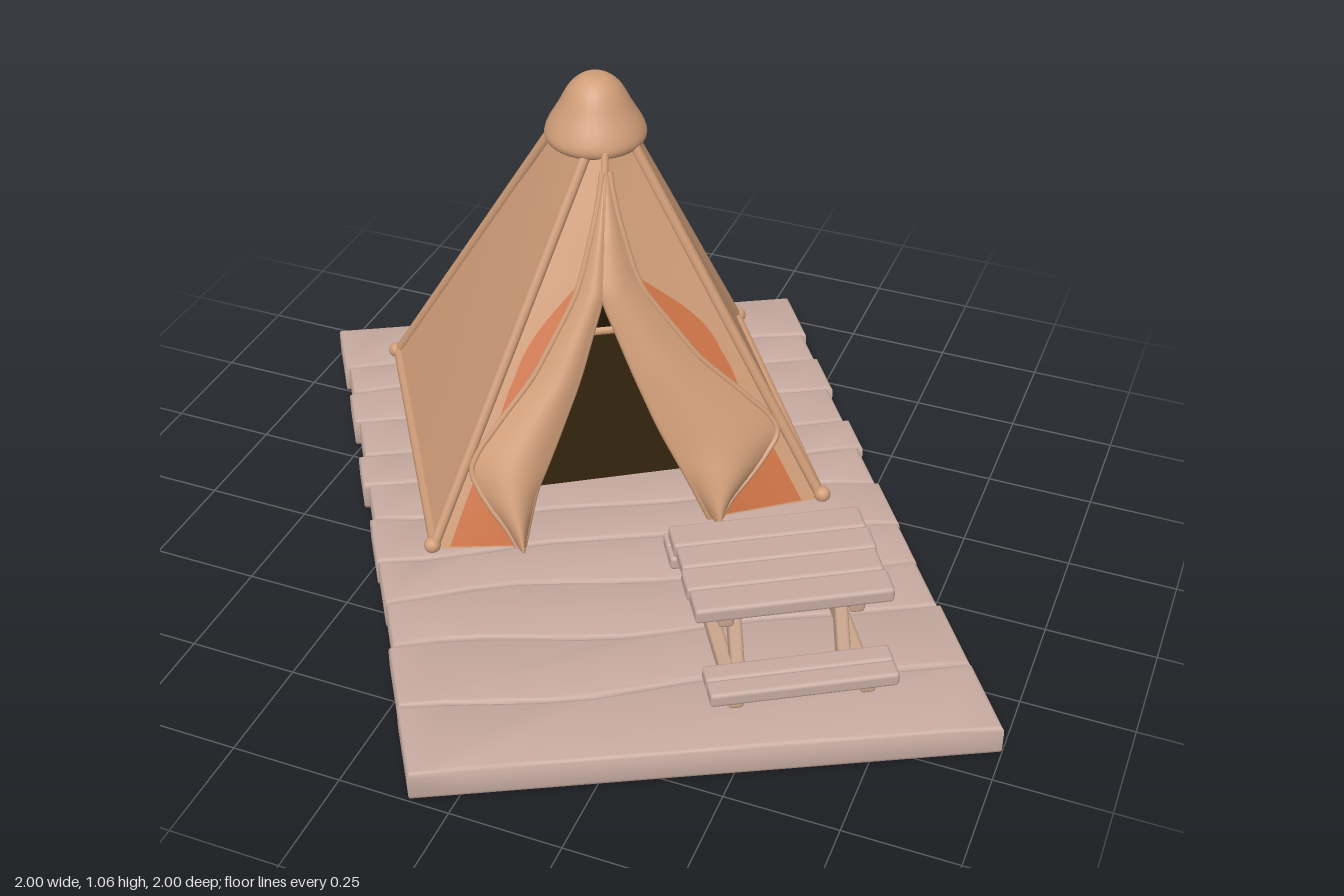
import * as THREE from 'three';
import { toCreasedNormals } from 'three/addons/utils/BufferGeometryUtils.js';
import { RoundedBoxGeometry } from 'three/addons/geometries/RoundedBoxGeometry.js';

const material = (name, color) => {
  const m = new THREE.MeshStandardMaterial({ color });
  m.name = name;
  return m;
};
const wood = material('weathered wood', 0xc6aaa0);
const beamWood = material('tan beam wood', 0xc9a48c);
const canvas = material('tan canvas', 0xd09d78);
const lining = material('orange lining', 0xcf7446);
const dark = material('dark interior', 0x2e210d);

const V = (x, y, z) => new THREE.Vector3(x, y, z);

function add(parent, name, geometry, mat) {
  const mesh = new THREE.Mesh(geometry, mat);
  mesh.name = name;
  parent.add(mesh);
  return mesh;
}

// Surface from f(u, v), facing u x v unless flipped
function surface(f, nu, nv, flip = false) {
  const pos = [], idx = [];
  for (let j = 0; j <= nv; j++)
    for (let i = 0; i <= nu; i++) pos.push(...f(i / nu, j / nv).toArray());
  for (let j = 0; j < nv; j++)
    for (let i = 0; i < nu; i++) {
      const a = j * (nu + 1) + i, b = a + 1, c = a + nu + 1, d = c + 1;
      if (flip) idx.push(a, d, b, a, c, d);
      else idx.push(a, b, d, a, d, c);
    }
  const g = new THREE.BufferGeometry();
  g.setAttribute('position', new THREE.Float32BufferAttribute(pos, 3));
  g.setIndex(idx);
  g.computeVertexNormals();
  return g;
}

// Linear lookup in rows of [key, value, value...]
function lookup(rows, key) {
  let i = 0;
  while (i < rows.length - 2 && key > rows[i + 1][0]) i++;
  const [p, q] = [rows[i], rows[i + 1]];
  const t = THREE.MathUtils.clamp((key - p[0]) / (q[0] - p[0]), 0, 1);
  return p.slice(1).map((v, k) => v + (q[k + 1] - v) * t);
}

const tube = (points, r) =>
  new THREE.TubeGeometry(new THREE.CatmullRomCurve3(points), points.length * 4, r, 8);

// Deck: wavy planks laid between the two long sides
function createDeck() {
  const deck = new THREE.Group();
  deck.name = 'deck';
  const backLeft = V(0.06, 0, -1), frontLeft = V(1, 0, 0.42);
  const frontRight = V(-0.09, 0, 1), backRight = V(-1, 0, -0.4);
  const cuts = [0, 0.1, 0.18, 0.26, 0.34, 0.42, 0.5, 0.58, 0.67, 0.77, 0.88, 1];
  const edgePoint = (i, s) => {
    const wave = i === 0 || i === cuts.length - 1 ? 0
      : 0.007 * Math.sin(s * 7 + i * 1.9) + 0.005 * Math.sin(s * 13 + i);
    const t = cuts[i] + wave;
    return backRight.clone().lerp(frontRight, t).lerp(backLeft.clone().lerp(frontLeft, t), s);
  };
  const steps = 12;
  for (let i = 0; i < cuts.length - 1; i++) {
    const inset = i === 0 || i === cuts.length - 2 ? 0 : 0.006 * (1 + Math.sin(i * 2.7));
    const outline = [];
    for (let k = 0; k <= steps; k++)
      outline.push(edgePoint(i + 1, inset + (1 - 2 * inset) * k / steps));
    for (let k = steps; k >= 0; k--)
      outline.push(edgePoint(i, inset + (1 - 2 * inset) * k / steps));
    const shape = new THREE.Shape(outline.map((p) => new THREE.Vector2(p.x, -p.z)));
    const g = new THREE.ExtrudeGeometry(shape, {
      depth: 0.051, bevelThickness: 0.012, bevelSize: 0.011, bevelOffset: -0.011, bevelSegments: 3,
    });
    g.rotateX(-Math.PI / 2).translate(0, 0.012, 0);
    add(deck, 'deckPlank', toCreasedNormals(g, 0.8), wood);
  }
  return deck;
}

// Tent corners, in order: front right, front left, back left, back right
const BASE = 0.075, TOP = 0.92;
const low = [V(-0.36, BASE, 0.335), V(0.415, BASE, -0.18), V(-0.03, BASE, -0.845), V(-0.805, BASE, -0.355)];
const high = [V(-0.16, TOP, -0.14), V(-0.085, TOP, -0.21), V(-0.16, TOP, -0.325), V(-0.275, TOP, -0.245)];
const corner = (i, t) => low[i % 4].clone().lerp(high[i % 4], t);
const heightOf = (y) => (y - BASE) / (TOP - BASE);

// Each door side: its corner and the door edge as [y, x, z]
const doorSides = [
  { i: 0, name: 'right', edge: [[BASE, -0.17, 0.25], [0.2, -0.16, 0.2], [0.32, -0.13, 0.14], [0.45, -0.1, 0.08],
    [0.64, -0.072, 0], [0.76, -0.09, -0.055], [TOP, -0.12, -0.14]] },
  { i: 1, name: 'left', edge: [[BASE, 0.195, -0.01], [0.2, 0.14, 0.005], [0.32, 0.075, 0.01], [0.45, 0.015, 0.01],
    [0.64, -0.072, 0], [0.76, -0.09, -0.055], [TOP, -0.12, -0.14]] },
];
// Free edge of the folded flap, as [y, share of the way from corner to door]
const freeEdge = [[BASE, 0.95], [0.13, 0.72], [0.2, 0.32], [0.25, 0.08], [0.29, 0.07], [0.36, 0.2],
  [0.45, 0.4], [0.6, 0.58], [0.75, 0.72], [0.88, 0.88]];
const outward = V(0.53, 0.25, 0.8).normalize();

function createTent() {
  const tent = new THREE.Group();
  tent.name = 'tent';

  // Three closed walls with dark inner faces, seams and hems
  for (let i = 0; i < 4; i++) {
    add(tent, 'cornerSeam', tube([0, 0.33, 0.67, 1].map((t) => corner(i, t)), 0.013), canvas);
    add(tent, 'cornerFoot', new THREE.SphereGeometry(0.02, 12, 8), canvas)
      .position.copy(low[i]).setY(BASE + 0.012);
    if (i === 0) continue;
    const wall = (u, v) => corner(i, v).lerp(corner(i + 1, v), u);
    add(tent, 'wall', surface(wall, 4, 4), canvas);
    add(tent, 'wallInside', surface(wall, 4, 4, true), dark);
    add(tent, 'wallHem', tube([0, 0.33, 0.67, 1].map((u) => wall(u, 0.015)), 0.014), canvas);
  }

  // Front panels with folded flaps
  for (const { i, name, edge } of doorSides) {
    const mirrored = i === 1;
    const panel = (a, y) => {
      const [x, z] = lookup(edge, y);
      return corner(i, heightOf(y)).lerp(V(x, y, z), a);
    };
    const panelAt = (u, v) => panel(u, BASE + (TOP - BASE) * v);
    add(tent, name + 'FrontPanel', surface(panelAt, 10, 30, mirrored), canvas);
    add(tent, name + 'FrontPanelInside', surface(panelAt, 10, 30, !mirrored), dark);

    // Flap turned back over the panel, plump towards the bottom
    const flap = (u, v) => {
      const y = BASE + 0.01 + (0.88 - BASE - 0.01) * v;
      const [free] = lookup(freeEdge, y);
      const puff = (0.016 * (1 - u) + 0.05 * Math.sin(Math.PI * (0.08 + 0.92 * (1 - u)))) * (1.05 - v);
      return panel(free + (1 - free) * u, y).addScaledVector(outward, puff + 0.006);
    };
    add(tent, name + 'Flap', surface(flap, 12, 40, mirrored), canvas);
    add(tent, name + 'FlapLining', surface(flap, 12, 40, !mirrored), lining);
    const rows = Array.from({ length: 20 }, (_, k) => k / 19);
    add(tent, name + 'FlapHem', tube(rows.map((v) => flap(0, v)), 0.007), canvas);
    add(tent, name + 'DoorEdge', tube(rows.map((v) => panelAt(1, v)), 0.009), canvas);

    // Orange lining showing beside and under the flap
    const patch = (y0, y1, spread) => (u, v) => {
      const y = y0 + (y1 - y0) * v;
      const from = Math.max(0.1, lookup(freeEdge, y)[0] - spread * Math.sin(Math.PI * v));
      return panel(from + (1 - from) * u, y).addScaledVector(outward, 0.004);
    };
    add(tent, name + 'UpperLining', surface(patch(0.36, 0.66, 0.26), 8, 16, mirrored), lining);
    add(tent, name + 'LowerLining', surface((u, v) =>
      panel(0.18 + 0.82 * u, BASE + 0.005 + 0.16 * v).addScaledVector(outward, 0.004), 8, 6, mirrored), lining);
  }

  // Shaded floor inside
  const floorAt = (u, v) => {
    const front = low[0].clone().lerp(low[1], u), back = low[3].clone().lerp(low[2], u);
    return front.lerp(back, 0.22 + 0.78 * v).setY(BASE + 0.004);
  };
  add(tent, 'shadedFloor', surface(floorAt, 2, 2), dark);

  // Rounded cap over the peak
  const profile = new THREE.SplineCurve([[0.085, 0.895], [0.108, 0.9], [0.117, 0.918], [0.108, 0.945],
    [0.085, 0.985], [0.06, 1.03], [0.03, 1.055], [0, 1.06]].map(([x, y]) => new THREE.Vector2(x, y)));
  const points = [new THREE.Vector2(0, 0.905), ...profile.getPoints(28)];
  points[points.length - 1].x = 0;
  add(tent, 'peakCap', new THREE.LatheGeometry(points, 32), canvas).position.set(-0.18, 0, -0.23);
  return tent;
}

// Picnic table with two benches
function createTable() {
  const table = new THREE.Group();
  table.name = 'picnicTable';
  const board = (name, w, h, d, x, y, z, mat) => {
    const mesh = add(table, name, new RoundedBoxGeometry(w, h, d, 2, 0.009), mat);
    mesh.position.set(x, y, z);
    return mesh;
  };
  for (let k = 0; k < 4; k++)
    board('tableBoard', 0.425, 0.036, 0.073, 0.004 * (k % 2), 0.287, (k - 1.5) * 0.0725, wood);
  for (const side of [-1, 1]) {
    for (const row of [0.198, 0.246])
      board('benchBoard', 0.4, 0.034, 0.049, 0, 0.168, side * row, wood);
    board('benchBeam', 0.034, 0.034, 0.5, side * 0.14, 0.138, 0, beamWood);
    board('tableBeam', 0.034, 0.03, 0.27, side * 0.14, 0.257, 0, beamWood);
    for (const s of [-1, 1])
      board('leg', 0.03, 0.215, 0.036, side * 0.115, 0.168, s * 0.117, beamWood).rotation.x = -s * 0.46;
  }
  table.position.set(0.47, 0, 0.335);
  table.rotation.y = 0.55;
  return table;
}

export function createModel() {
  const model = new THREE.Group();
  model.name = 'campTent';
  model.add(createDeck(), createTent(), createTable());
  return model;
}
